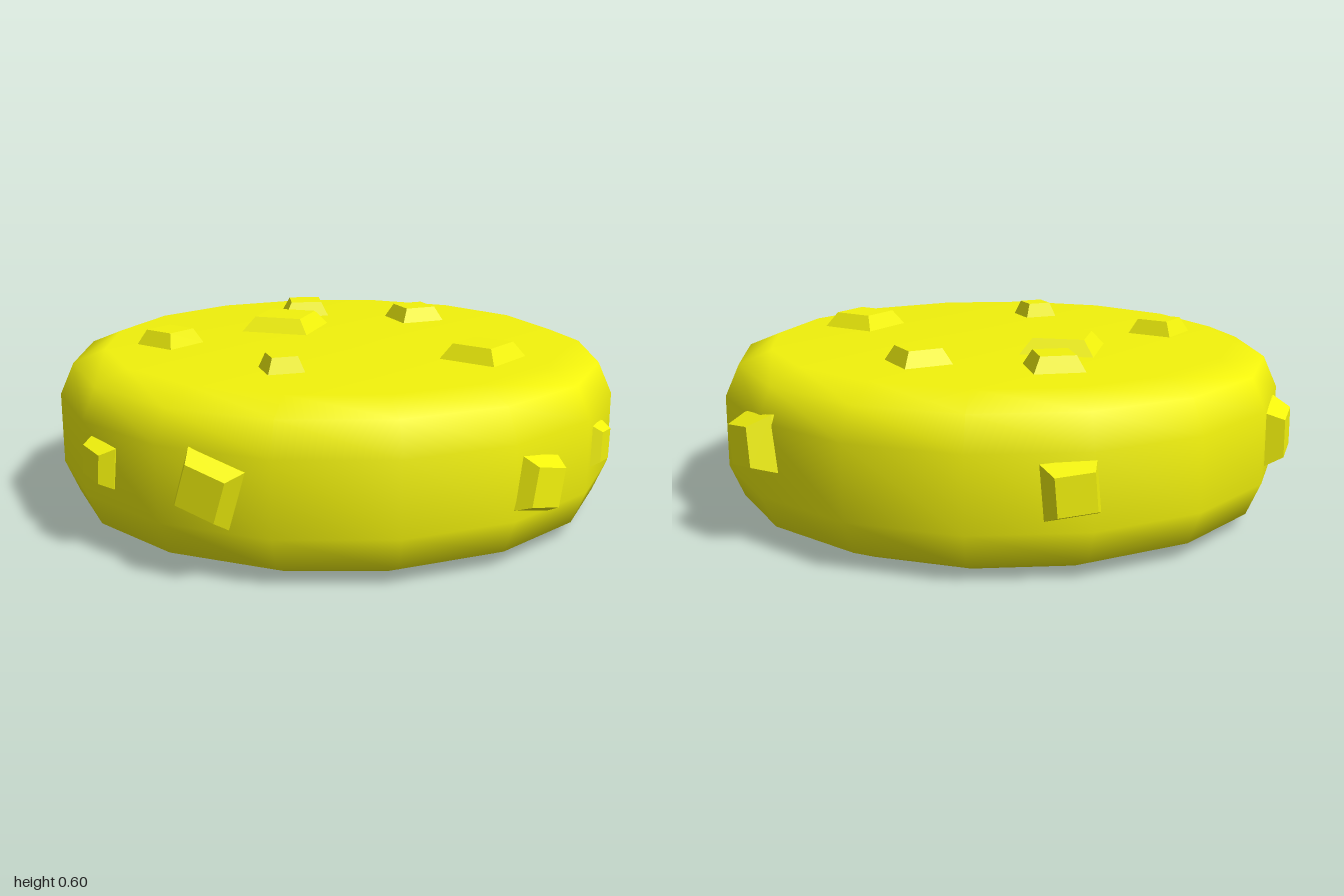
import * as THREE from 'three';

const material = new THREE.MeshStandardMaterial({ color: 0xf2f20c });
const studMaterial = new THREE.MeshStandardMaterial({ color: 0xf2f20c, flatShading: true });
const CENTER = new THREE.Vector3(-0.015, 0, -0.025);
const TOP = 0.55;
const WALL = 0.94; // distance from the axis to the flat sides
const rad = THREE.MathUtils.degToRad;

// Square stud tapering upward, with a short straight root sunk into the body.
// spin is clockwise in degrees, seen from outside.
function studGeometry(size, height, spin) {
  const r = size / Math.SQRT2;
  const profile = [[r, -0.05], [r, 0], [r * 0.7, height], [0, height]];
  return new THREE.LatheGeometry(profile.map(([x, y]) => new THREE.Vector2(x, y)), 4)
    .rotateY(Math.PI / 4 - rad(spin));
}

export function createModel() {
  const model = new THREE.Group();

  // Thick sixteen-sided disc with bevelled rims
  const profile = [
    [0, 0], [0.8, 0], [0.91, 0.05], [0.957, 0.16],
    [0.957, 0.4], [0.91, 0.505], [0.8, TOP], [0, TOP],
  ].map(([x, y]) => new THREE.Vector2(x, y));
  const body = new THREE.Mesh(new THREE.LatheGeometry(profile, 16), material);
  body.name = 'body';
  body.position.copy(CENTER);
  model.add(body);

  // Studs on the top: x, z, size, spin
  const topStuds = new THREE.Group();
  topStuds.name = 'topStuds';
  for (const [x, z, size, spin] of [
    [0.17, -0.52, 0.165, 28],
    [-0.05, -0.31, 0.245, -39],
    [-0.53, -0.29, 0.16, -19],
    [0.45, -0.185, 0.165, 11],
    [-0.42, 0.27, 0.12, 16],
    [0.22, 0.49, 0.205, -19],
  ]) {
    const stud = new THREE.Mesh(studGeometry(size, 0.05, spin), studMaterial);
    stud.name = 'topStud';
    stud.position.set(x, TOP, z);
    topStuds.add(stud);
  }
  model.add(topStuds);

  // Studs around the wall: angle from the front toward +x, y, size, spin, outer radius
  const sideStuds = new THREE.Group();
  sideStuds.name = 'sideStuds';
  for (const [angle, y, size, spin, outer] of [
    [5.5, 0.26, 0.175, 12, 1.0],
    [29.5, 0.29, 0.14, 7, 0.975],
    [89, 0.33, 0.18, -8, 1.015],
    [153.5, 0.29, 0.17, -5, 1.0],
    [211.5, 0.3, 0.185, -6, 1.0],
    [276, 0.29, 0.135, 8, 0.985],
    [303, 0.29, 0.19, 17, 0.995],
  ]) {
    const geometry = studGeometry(size, outer - WALL, spin).rotateX(Math.PI / 2);
    const stud = new THREE.Mesh(geometry, studMaterial);
    const a = rad(angle);
    stud.name = 'sideStud';
    stud.rotation.y = a;
    stud.position.set(Math.sin(a) * WALL, y, Math.cos(a) * WALL).add(CENTER);
    sideStuds.add(stud);
  }
  model.add(sideStuds);

  return model;
}
